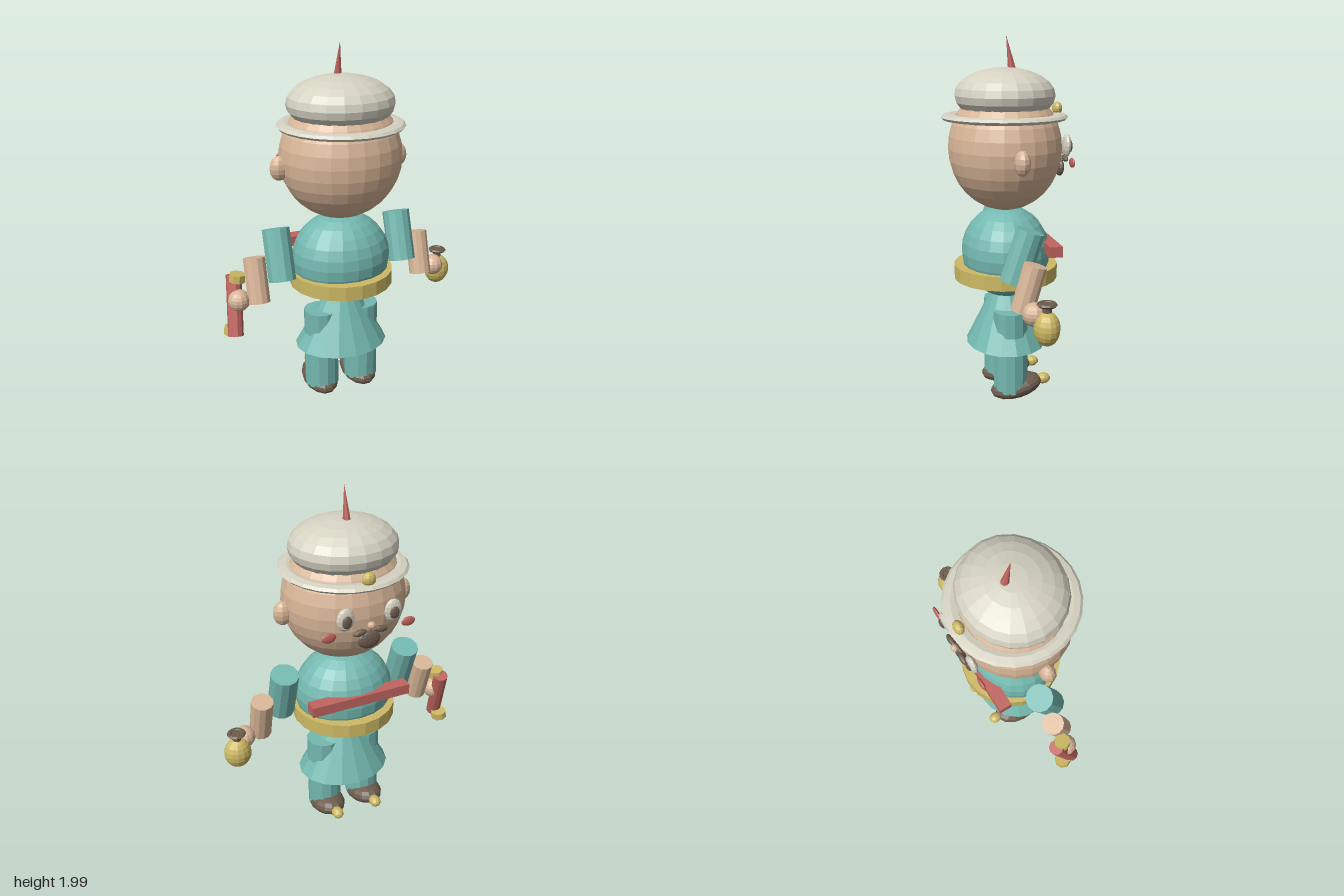
import * as THREE from 'three';

const mat = (name, color) => {
  const m = new THREE.MeshStandardMaterial({ color, flatShading: true });
  m.name = name;
  return m;
};

export function createModel() {
  const teal = mat('teal cloth', 0x74b9b0);
  const skin = mat('skin', 0xd8b698);
  const cream = mat('cream felt', 0xd5d2c2);
  const gold = mat('gold', 0xcdb964);
  const brown = mat('brown leather', 0x6d5c4e);
  const red = mat('red', 0xc0645f);

  const model = new THREE.Group();
  model.name = 'hattedFigure';
  const cx = -0.023; // middle of the body
  const V = (x, y, z) => new THREE.Vector3(x, y, z);

  const add = (name, geo, material, x, y, z) => {
    const mesh = new THREE.Mesh(geo, material);
    mesh.name = name;
    mesh.position.set(x, y, z);
    model.add(mesh);
    return mesh;
  };
  const ball = (name, material, [x, y, z], [rx, ry, rz], ws = 12, hs = 8) => {
    const mesh = add(name, new THREE.SphereGeometry(1, ws, hs), material, x, y, z);
    mesh.scale.set(rx, ry, rz);
    return mesh;
  };
  // cylinder or cone from point a (bottom) to point b (top)
  const rod = (name, material, a, b, rBottom, rTop = rBottom, seg = 12) => {
    const dir = b.clone().sub(a);
    const geo = new THREE.CylinderGeometry(rTop, rBottom, dir.length(), seg);
    const mid = a.clone().add(b).multiplyScalar(0.5);
    const mesh = add(name, geo, material, mid.x, mid.y, mid.z);
    mesh.quaternion.setFromUnitVectors(V(0, 1, 0), dir.normalize());
    return mesh;
  };

  // head and hat
  ball('head', skin, [cx, 1.41, 0.003], [0.333, 0.337, 0.306], 24, 16);
  ball('hatCrown', cream, [cx, 1.69, 0.004], [0.289, 0.146, 0.268], 20, 12);
  const brim = add('hatBrim', new THREE.TorusGeometry(0.295, 0.045, 8, 24), cream, cx, 1.577, 0.005);
  brim.rotation.x = Math.PI / 2;
  brim.scale.z = 0.42;
  rod('hatSpike', red, V(cx, 1.82, -0.036), V(cx, 2, -0.004), 0.022, 0, 8);
  ball('hatBadge', gold, [cx, 1.615, -0.288], [0.038, 0.036, 0.027], 10, 8);

  // face, on the -z side
  for (const s of [-1, 1]) {
    ball('ear', skin, [cx + s * 0.342, 1.375, -0.005], [0.052, 0.066, 0.042], 10, 8);
    ball('eye', cream, [cx + s * 0.13, 1.43, -0.303], [0.048, 0.062, 0.022]);
    ball('pupil', brown, [cx + s * 0.13, 1.425, -0.322], [0.026, 0.034, 0.012]);
    ball('cheek', red, [cx + s * 0.219, 1.35, -0.305], [0.04, 0.026, 0.011]);
    const whisker = ball('moustache', brown, [cx + s * 0.058, 1.35, -0.318], [0.038, 0.017, 0.016]);
    whisker.rotation.z = -s * 0.15;
  }
  ball('nose', skin, [cx, 1.385, -0.328], [0.022, 0.02, 0.02], 8, 6);
  ball('beard', brown, [cx, 1.295, -0.305], [0.063, 0.05, 0.022]);

  // torso
  ball('body', teal, [cx, 0.837, 0], [0.276, 0.254, 0.243], 20, 14);
  add('belt', new THREE.CylinderGeometry(0.287, 0.287, 0.079, 20), gold, cx, 0.729, 0);
  add('chestBand', new THREE.BoxGeometry(0.569, 0.057, 0.072), red, cx, 0.887, -0.208);
  const skirt = add('skirt', new THREE.CylinderGeometry(0.07, 0.266, 0.341, 16), teal, cx, 0.479, 0);
  skirt.scale.z = 0.83;

  for (const s of [-1, 1]) {
    // legs and shoes
    const lx = cx + s * 0.122;
    rod('leg', teal, V(lx, 0.06, 0), V(lx, 0.527, 0), 0.097);
    const shoe = ball('shoe', brown, [lx, 0.074, -0.033], [0.1, 0.062, 0.148], 14, 10);
    shoe.rotation.x = 0.2;
    ball('toeBobble', gold, [lx, 0.1, -0.19], [0.034, 0.031, 0.042], 10, 8);

    // arms
    const ux = cx + s * 0.36;
    const fx = cx + s * 0.49;
    rod('upperArm', teal, V(ux, 0.765, 0.045), V(ux, 1.032, -0.045), 0.076);
    rod('forearm', skin, V(fx, 0.655, 0.034), V(fx, 0.89, -0.034), 0.061);
    ball('hand', skin, [cx + s * 0.592, 0.673, 0], [0.06, 0.06, 0.06], 12, 10);
  }

  // flask in the left hand
  ball('flask', gold, [0.626, 0.618, -0.048], [0.075, 0.088, 0.066], 14, 10);
  rod('flaskNeck', brown, V(0.626, 0.69, -0.048), V(0.626, 0.742, -0.048), 0.023);
  const rim = add('flaskRim', new THREE.TorusGeometry(0.037, 0.014, 6, 14), brown, 0.626, 0.74, -0.048);
  rim.rotation.x = Math.PI / 2;
  rim.scale.z = 0.7;
  add('flaskStopper', new THREE.CylinderGeometry(0.037, 0.03, 0.012, 14), brown, 0.626, 0.738, -0.048);

  // capped stick in the right hand
  rod('stick', red, V(-0.651, 0.482, 0.03), V(-0.618, 0.795, -0.074), 0.042, 0.042, 10);
  rod('stickTopCap', gold, V(-0.613, 0.772, -0.03), V(-0.607, 0.815, -0.03), 0.045, 0.045, 8);
  rod('stickBottomCap', gold, V(-0.657, 0.466, -0.03), V(-0.651, 0.508, -0.03), 0.046, 0.046, 8);

  return model;
}
